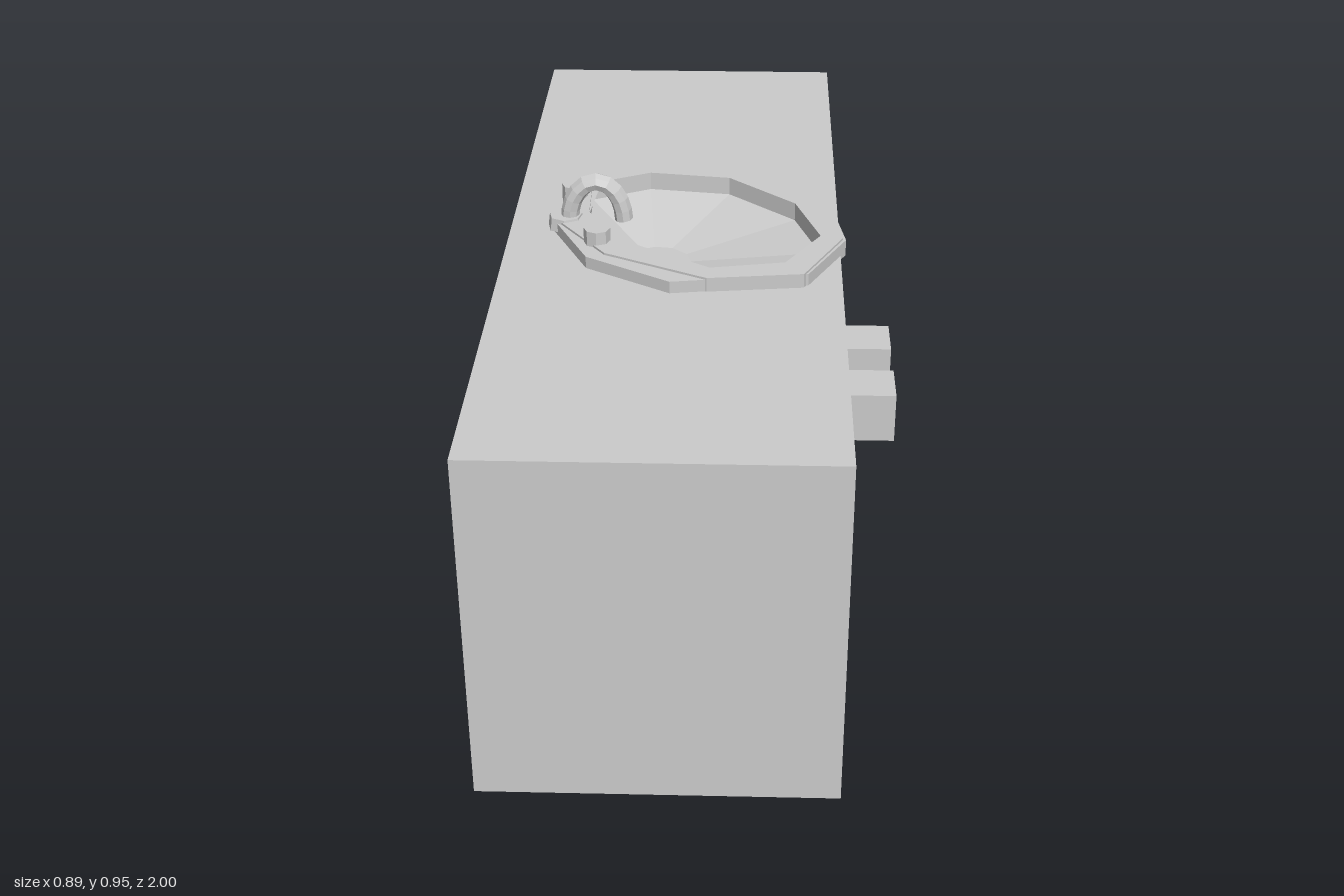
import * as THREE from 'three';

const grey = new THREE.MeshStandardMaterial({ color: 0xcccccc, flatShading: true });

function add(parent, name, geometry, x = 0, y = 0, z = 0) {
  const mesh = new THREE.Mesh(geometry, grey);
  mesh.name = name;
  mesh.position.set(x, y, z);
  parent.add(mesh);
  return mesh;
}

// Joins a list of rings [outline, height] with faceted walls
function loft(rings) {
  const pos = [];
  for (let r = 0; r < rings.length - 1; r++) {
    const [p, y0] = rings[r], [q, y1] = rings[r + 1];
    for (let i = 0; i < p.length; i++) {
      const j = (i + 1) % p.length;
      const a = [p[i][0], y0, p[i][1]], b = [p[j][0], y0, p[j][1]];
      const c = [q[i][0], y1, q[i][1]], d = [q[j][0], y1, q[j][1]];
      pos.push(...b, ...a, ...c, ...b, ...c, ...d);
    }
  }
  const g = new THREE.BufferGeometry();
  g.setAttribute('position', new THREE.Float32BufferAttribute(pos, 3));
  g.computeVertexNormals();
  return g;
}

// Shrinks or grows an outline about a centre
const scaled = (pts, k, cx, cz) => pts.map(([x, z]) => [cx + x * k, cz + z * k]);

// Irregular nine-sided outlines (x, z) of the basin
const inner = [[-0.275, -0.17], [-0.14, -0.235], [0.05, -0.21], [0.205, -0.07], [0.26, 0.10],
  [0.18, 0.235], [0.015, 0.265], [-0.185, 0.135], [-0.27, -0.01]];
const rim = [[-0.325, -0.19], [-0.165, -0.29], [0.065, -0.255], [0.24, -0.10], [0.31, 0.11],
  [0.22, 0.29], [0.01, 0.315], [-0.22, 0.20], [-0.335, 0.04]];
const flange = [[-0.25, -0.24], [-0.075, -0.30], [0.135, -0.26], [0.285, -0.09], [0.317, 0.11],
  [0.23, 0.28], [-0.07, 0.325], [-0.26, 0.21], [-0.36, 0]];

export function createModel() {
  const model = new THREE.Group();
  model.name = 'vanity';

  // Cabinet body and countertop with an opening for the basin
  add(model, 'cabinet', new THREE.BoxGeometry(0.755, 0.7, 2), -0.0725, 0.35, 0);
  const top = new THREE.Shape([[-0.45, -1], [0.305, -1], [0.305, 1], [-0.45, 1]]
    .map(([x, z]) => new THREE.Vector2(x, z)));
  top.holes.push(new THREE.Path(scaled(inner, 1.03, 0, 0).map(([x, z]) => new THREE.Vector2(x, z))));
  const topGeometry = new THREE.ExtrudeGeometry(top, { depth: 0.11, bevelEnabled: false });
  add(model, 'countertop', topGeometry.rotateX(Math.PI / 2), 0, 0.81, 0);

  // Pair of thin doors with block handles
  for (const s of [1, -1]) {
    const side = s > 0 ? 'front' : 'back';
    add(model, side + 'Door', new THREE.BoxGeometry(0.008, 0.72, 0.65), 0.303, 0.415, s * 0.345);
    add(model, side + 'Handle', new THREE.BoxGeometry(0.14, 0.122, 0.118), 0.375, 0.407, s * 0.11);
  }

  // Basin: raised rim, bowl falling to an off-centre drain, and a twisted flange
  const basin = new THREE.Group();
  basin.name = 'basin';
  model.add(basin);
  const drain = scaled(inner, 0.22, -0.09, 0.02);
  const drainCentre = drain.map(() => [-0.09, 0.02]);
  add(basin, 'bowl', loft([[rim, 0.8], [rim, 0.843], [inner, 0.843], [inner, 0.8],
    [drain, 0.745], [drainCentre, 0.745]]));
  add(basin, 'flange', loft([[flange, 0.8], [flange, 0.838], [inner, 0.838]]));

  // Faucet: arched spout, base collar and two taps
  const faucet = new THREE.Group();
  faucet.name = 'faucet';
  model.add(faucet);
  const arch = [];
  for (let i = 0; i <= 8; i++) {
    const t = Math.PI * (1 - i / 8);
    arch.push(new THREE.Vector3(-0.25 + 0.062 * Math.cos(t), 0.838 + 0.092 * Math.sin(t), 0.013));
  }
  add(faucet, 'spout', new THREE.TubeGeometry(new THREE.CatmullRomCurve3(arch), 10, 0.021, 8));
  add(faucet, 'spoutEnd', new THREE.CircleGeometry(0.021, 8).rotateX(Math.PI / 2), -0.188, 0.838, 0.013);
  add(faucet, 'spoutBase', new THREE.CylinderGeometry(0.038, 0.042, 0.03, 7), -0.322, 0.833, 0.013);
  for (const [x, z] of [[-0.31, -0.1], [-0.24, 0.135]]) {
    add(faucet, 'tap', new THREE.CylinderGeometry(0.03, 0.03, 0.055, 8), x, 0.8455, z);
  }
  return model;
}
